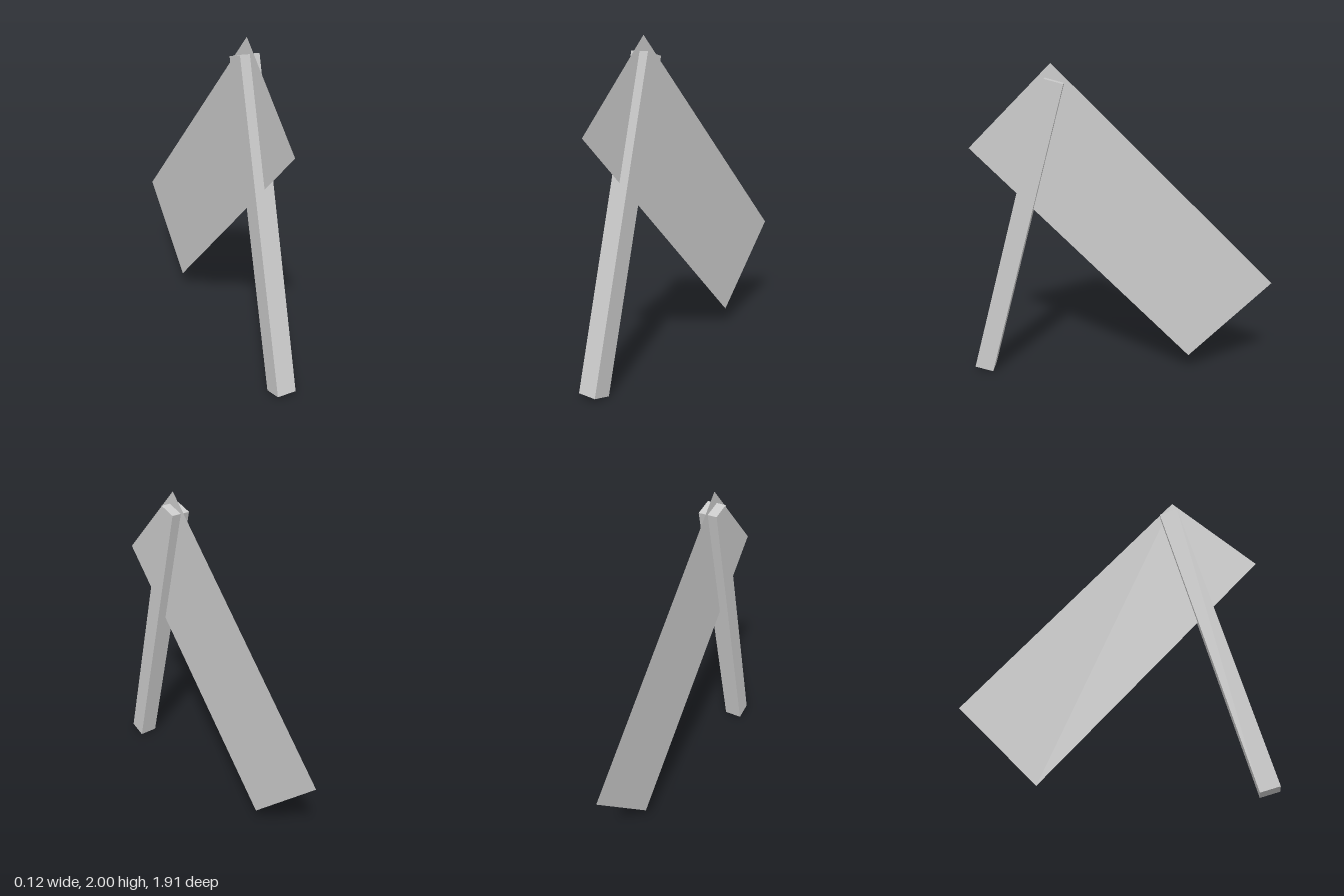
import * as THREE from 'three';

export function createModel() {
  const group = new THREE.Group();

  // Square pole leaning back
  const pole = new THREE.Mesh(
    new THREE.BoxGeometry(0.12, 1.947, 0.12),
    new THREE.MeshStandardMaterial({ color: 0xcccccc, flatShading: true })
  );
  pole.name = 'pole';
  pole.position.set(0, 0.958, 0.65);
  pole.rotation.x = -Math.PI / 12;
  group.add(pole);

  // Thin flag sheet in the plane x = 0, drooping to the back
  const flag = new THREE.Mesh(
    new THREE.PlaneGeometry(0.728, 1.945).rotateY(Math.PI / 2),
    new THREE.MeshStandardMaterial({ color: 0xcccccc, side: THREE.DoubleSide })
  );
  flag.name = 'flag';
  flag.position.set(0, 1.055, -0.01);
  flag.rotation.x = Math.PI / 4;
  group.add(flag);

  return group;
}
